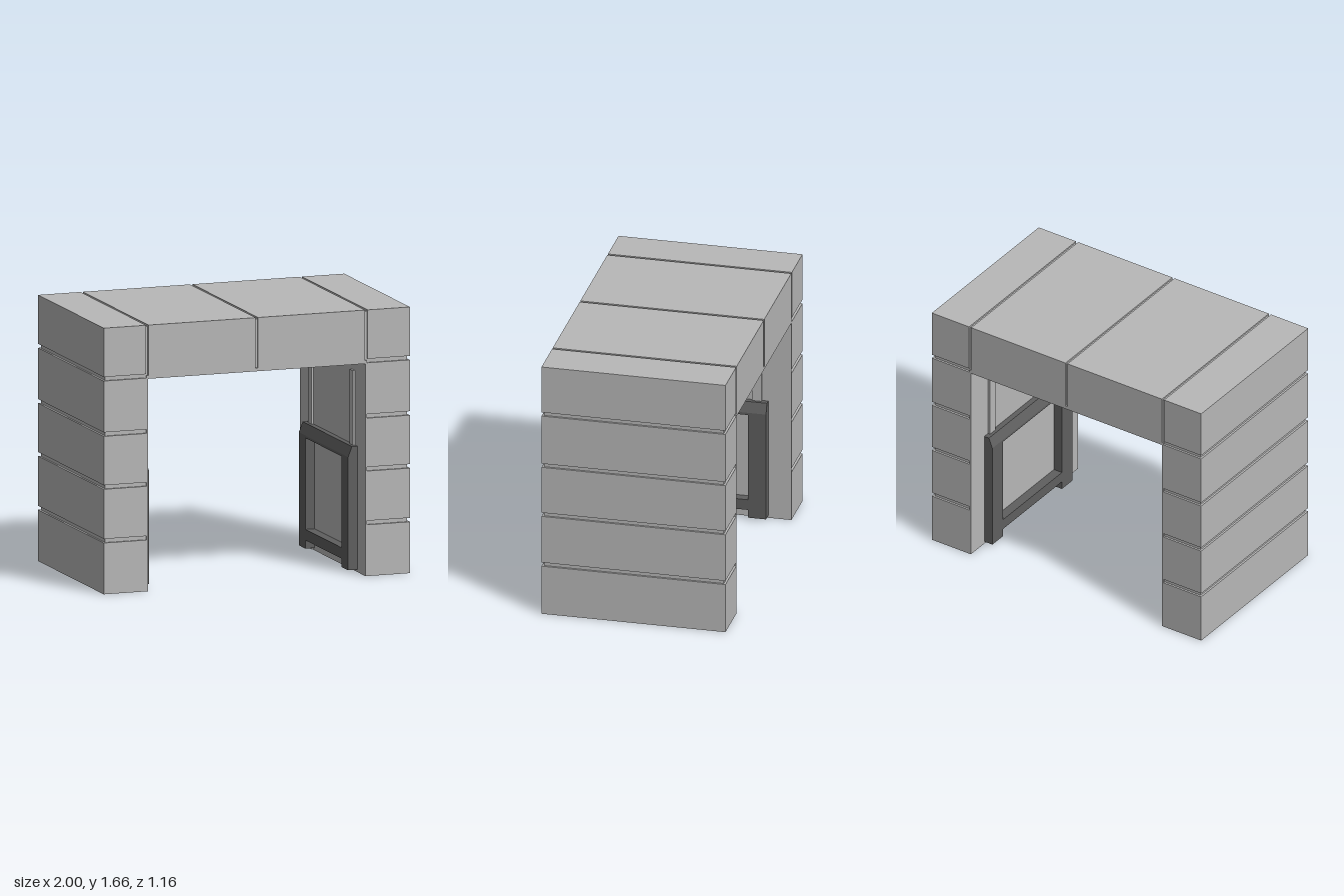
import * as THREE from 'three';

export function createModel() {
  const stone = new THREE.MeshStandardMaterial({ color: 0xb8b8b8 });
  stone.name = 'light grey stone';
  const dark = new THREE.MeshStandardMaterial({ color: 0x5f5f5f });
  dark.name = 'dark grey frame';
  const D = 0.58;      // half depth
  const inset = 0.013; // joint depth

  // box given by its limits
  function box(parent, name, mat, x0, x1, y0, y1, z0, z1) {
    const mesh = new THREE.Mesh(new THREE.BoxGeometry(x1 - x0, y1 - y0, z1 - z0), mat);
    mesh.position.set((x0 + x1) / 2, (y0 + y1) / 2, (z0 + z1) / 2);
    mesh.name = name;
    parent.add(mesh);
  }

  // frame section with a bevelled top, run along z
  function bevelled(parent, name, bottom, z0, z1) {
    const profile = new THREE.Shape([
      [0.71, bottom], [0.71, 0.785], [0.675, 0.785], [0.65, 0.72], [0.65, bottom],
    ].map(([x, y]) => new THREE.Vector2(x, y)));
    const geo = new THREE.ExtrudeGeometry(profile, { depth: z1 - z0, bevelEnabled: false });
    const mesh = new THREE.Mesh(geo, dark);
    mesh.position.z = z0;
    mesh.name = name;
    parent.add(mesh);
  }

  function createSide(name) {
    const side = new THREE.Group();
    side.name = name;

    // stacked leg blocks with recessed joints and a flush inner edge
    const courses = [[0, 0.32], [0.345, 0.655], [0.68, 0.985], [1.01, 1.33]];
    courses.forEach(([y0, y1], i) => {
      box(side, 'legBlock', stone, 0.71, 1, y0, y1, -D, D);
      const next = i < 3 ? courses[i + 1][0] : 1.355;
      box(side, 'legJoint', stone, 0.72, 1 - inset, y1, next, -D + inset, D - inset);
      if (i < 3) box(side, 'innerEdge', stone, 0.71, 0.72, y1, next, -D, D);
    });

    // corner block and half of the lintel
    box(side, 'cornerBlock', stone, 0.724, 1, 1.355, 1.66, -D, D);
    box(side, 'lintelBlock', stone, 0.008, 0.708, 1.345, 1.66, -D, D);
    box(side, 'lintelUnderside', stone, 0, 0.72, 1.325, 1.345, -D, D);
    box(side, 'cornerJoint', stone, 0.708, 0.724, 1.345, 1.65, -D + inset, D - inset);
    box(side, 'centreJoint', stone, 0, 0.008, 1.345, 1.65, -D + inset, D - inset);

    // vertical guide rails on the inner wall
    for (const z of [-0.365, 0.365]) {
      box(side, 'guideRail', stone, 0.695, 0.71, 0.005, 1.25, z - 0.03, z + 0.03);
    }

    // open dark frame: two stiles, top and bottom rails
    bevelled(side, 'frameStile', 0.015, -0.435, -0.32);
    bevelled(side, 'frameStile', 0.015, 0.32, 0.435);
    bevelled(side, 'frameTopRail', 0.705, -0.32, 0.32);
    box(side, 'frameBottomRail', dark, 0.65, 0.71, 0.067, 0.135, -0.32, 0.32);
    return side;
  }

  const model = new THREE.Group();
  model.name = 'blockArch';
  const left = createSide('leftSide');
  const right = createSide('rightSide');
  right.rotation.y = Math.PI;
  model.add(left, right);
  return model;
}
